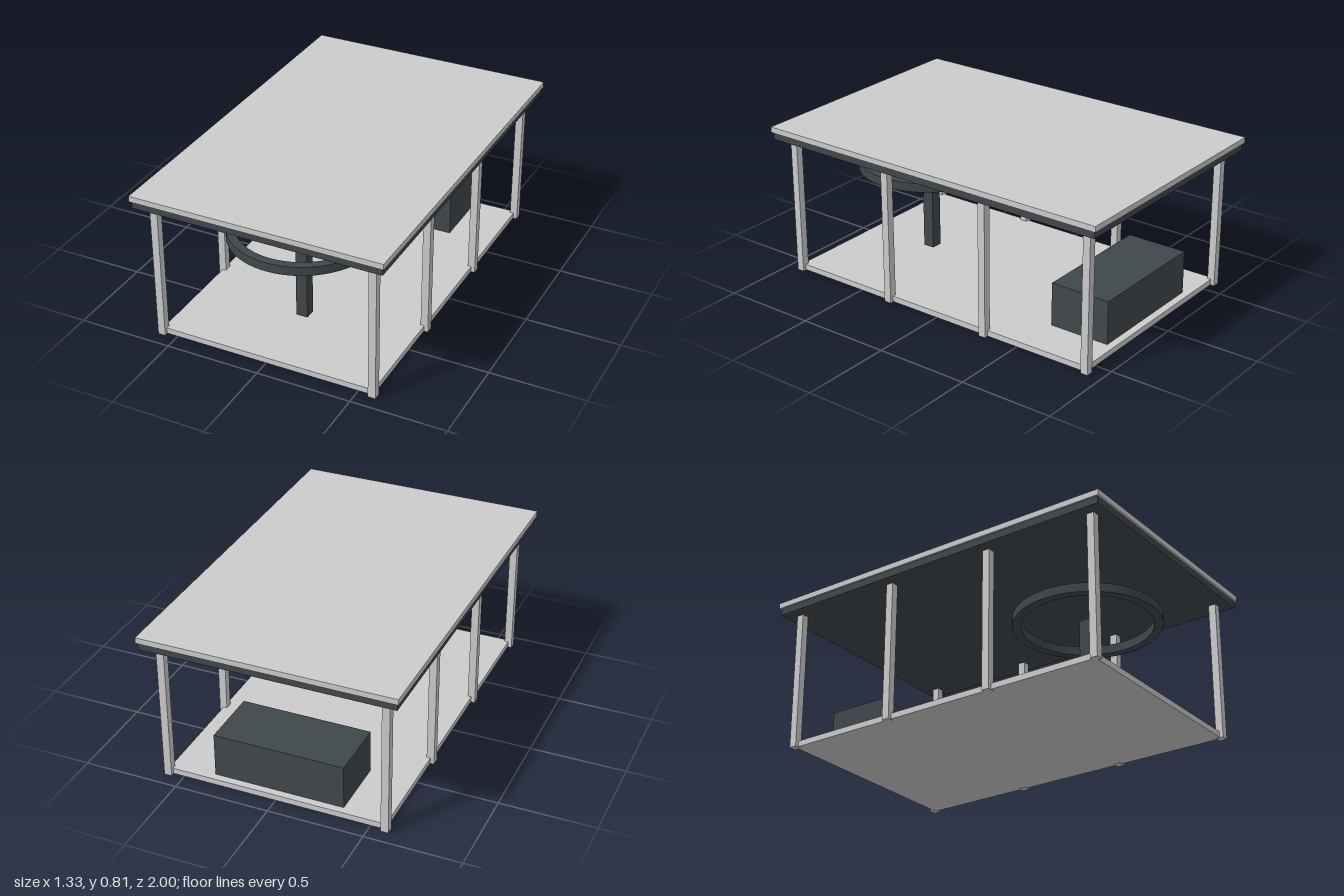
import * as THREE from 'three';

export function createModel() {
  const model = new THREE.Group();
  model.name = 'pavilion';
  const lightGrey = new THREE.MeshStandardMaterial({ color: 0xcccccc });
  lightGrey.name = 'light grey';
  const charcoal = new THREE.MeshStandardMaterial({ color: 0x40474b });
  charcoal.name = 'charcoal';

  // Box given by its width, depth, bottom and top heights, and centre
  const box = (name, material, w, d, y0, y1, x = 0, z = 0) => {
    const mesh = new THREE.Mesh(new THREE.BoxGeometry(w, y1 - y0, d), material);
    mesh.name = name;
    mesh.position.set(x, (y0 + y1) / 2, z);
    model.add(mesh);
  };

  // Floor and two-layer flat roof
  box('floor', lightGrey, 1.16, 1.82, 0.002, 0.033);
  box('roofFascia', charcoal, 1.316, 1.98, 0.747, 0.785);
  box('roofSlab', lightGrey, 1.334, 2, 0.785, 0.815);

  // Four columns along each side
  for (const x of [-0.58, 0.58]) {
    for (const z of [-0.91, -0.303, 0.303, 0.91]) {
      box('column', lightGrey, 0.04, 0.04, 0, 0.747, x, z);
    }
  }

  // Counter block at the back
  box('counter', charcoal, 0.69, 0.33, 0.033, 0.265, 0, -0.705);

  // Post with an open ring round its top
  box('post', charcoal, 0.062, 0.062, 0.045, 0.54, 0, 0.5);
  const outline = new THREE.Shape().absarc(0, 0, 0.38, 0, Math.PI * 2, false);
  outline.holes.push(new THREE.Path().absarc(0, 0, 0.335, 0, Math.PI * 2, true));
  const ringGeometry = new THREE.ExtrudeGeometry(outline, {
    depth: 0.048, bevelEnabled: false, curveSegments: 64,
  });
  ringGeometry.rotateX(-Math.PI / 2);
  const ring = new THREE.Mesh(ringGeometry, charcoal);
  ring.name = 'ring';
  ring.position.set(0, 0.515, 0.5);
  model.add(ring);

  return model;
}
